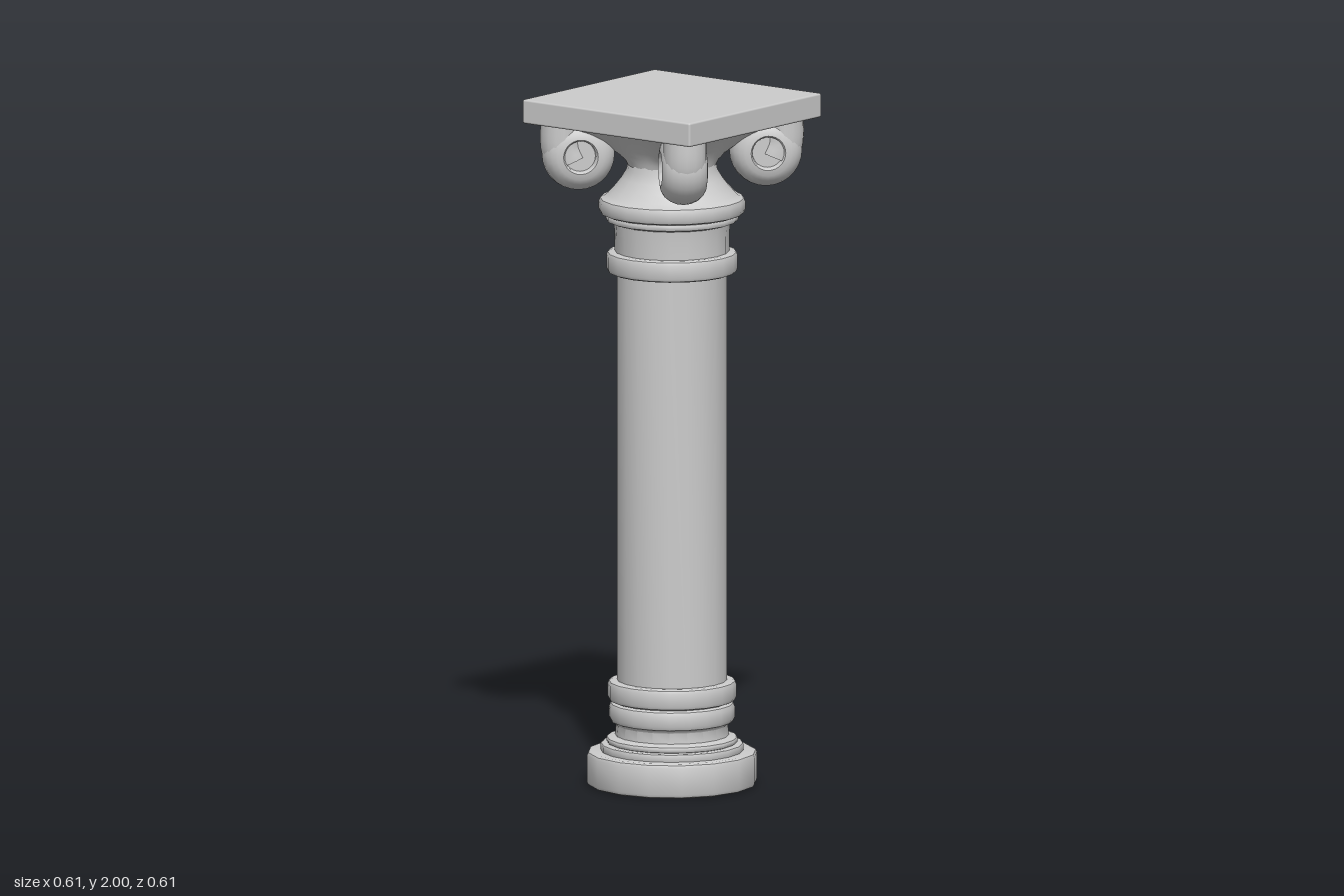
import * as THREE from 'three';
import { toCreasedNormals } from 'three/addons/utils/BufferGeometryUtils.js';
import { RoundedBoxGeometry } from 'three/addons/geometries/RoundedBoxGeometry.js';

const material = new THREE.MeshStandardMaterial({ color: 0xcccccc });

function addMesh(parent, name, geometry) {
  const mesh = new THREE.Mesh(geometry, material);
  mesh.name = name;
  parent.add(mesh);
  return mesh;
}

// Turned part from [radius, height] pairs, bottom to top
function turned(profile, sides = 20) {
  const points = profile.map(([r, y]) => new THREE.Vector2(r, y));
  return toCreasedNormals(new THREE.LatheGeometry(points, sides), 0.75);
}

// Round-edged moulding between two heights
function band(r, y0, y1, b = 0.012) {
  return [
    [r - b, y0], [r - b * 0.3, y0 + b * 0.3], [r, y0 + b],
    [r, y1 - b], [r - b * 0.3, y1 - b * 0.3], [r - b, y1],
  ];
}

// Flare from the round neck to a four-pointed, concave-sided top
function createFlare() {
  const y0 = 1.8, y1 = 1.94;
  const profile = [];
  for (let i = 0; i <= 8; i++) profile.push(new THREE.Vector2(0.125, y0 + (y1 - y0) * i / 8));
  const geometry = new THREE.LatheGeometry(profile, 64);
  const p = geometry.attributes.position;
  for (let i = 0; i < p.count; i++) {
    const angle = Math.atan2(p.getX(i), p.getZ(i));
    const t = THREE.MathUtils.clamp((p.getY(i) - y0) / (y1 - y0), 0, 1);
    const top = 0.22 + 0.15 * Math.abs(Math.sin(2 * angle)) ** 3;
    const r = THREE.MathUtils.lerp(0.125, top, t ** 1.6);
    p.setX(i, r * Math.sin(angle));
    p.setZ(i, r * Math.cos(angle));
  }
  return toCreasedNormals(geometry, 0.8);
}

// Scroll with a fat round rim and sunken faces, lying in the local x-y plane
function createVolute() {
  const volute = new THREE.Group();
  const profile = [[0, -0.046], [0.044, -0.046], [0.046, -0.062]];
  for (let i = 0; i <= 10; i++) {
    const a = -Math.PI / 2 + Math.PI * i / 10;
    profile.push([0.05 + 0.055 * Math.cos(a), 0.066 * Math.sin(a)]);
  }
  profile.push([0.046, 0.062], [0.044, 0.046], [0, 0.046]);
  const scroll = addMesh(volute, 'voluteScroll', turned(profile, 28));
  scroll.rotation.x = Math.PI / 2;
  scroll.position.set(0.27, 1.84, 0);

  // Stem rising from the outer rim into the slab
  const stem = new THREE.CatmullRomCurve3([
    new THREE.Vector3(0.3, 1.82, 0),
    new THREE.Vector3(0.316, 1.86, 0),
    new THREE.Vector3(0.316, 1.95, 0),
  ]);
  addMesh(volute, 'voluteStem', new THREE.TubeGeometry(stem, 8, 0.062, 16));
  return volute;
}

export function createModel() {
  const column = new THREE.Group();
  column.name = 'column';

  // Foot and its stacked mouldings
  addMesh(column, 'plinth', turned([[0, 0], ...band(0.245, 0, 0.1), [0, 0.1]], 16));
  addMesh(column, 'baseMouldings', turned([
    ...band(0.205, 0.095, 0.122, 0.006),
    ...band(0.188, 0.122, 0.14, 0.006),
    [0.163, 0.145], [0.16, 0.175],
    ...band(0.18, 0.182, 0.242, 0.015),
    ...band(0.184, 0.244, 0.305, 0.012),
    [0.15, 0.305],
  ]));

  addMesh(column, 'shaft', turned([[0.158, 0.28], [0.158, 1.52]]));

  // Collar, neck and bell of the capital
  addMesh(column, 'collar', turned([[0.15, 1.49], ...band(0.188, 1.49, 1.552), [0.15, 1.552]]));
  addMesh(column, 'neck', turned([
    [0.164, 1.54], [0.164, 1.6], [0.167, 1.635],
    ...band(0.19, 1.64, 1.66, 0.006),
    ...band(0.21, 1.66, 1.71, 0.014),
    [0.185, 1.718], [0.165, 1.74], [0.145, 1.765], [0.13, 1.79], [0.125, 1.82],
  ]));
  addMesh(column, 'capitalFlare', createFlare());

  // One scroll under each corner of the slab
  for (let i = 0; i < 4; i++) {
    const volute = createVolute();
    volute.name = 'volute' + (i + 1);
    volute.rotation.y = Math.PI / 4 + i * Math.PI / 2;
    column.add(volute);
  }

  const slab = addMesh(column, 'topSlab', new RoundedBoxGeometry(0.61, 0.07, 0.61, 2, 0.006));
  slab.position.y = 1.965;
  return column;
}
